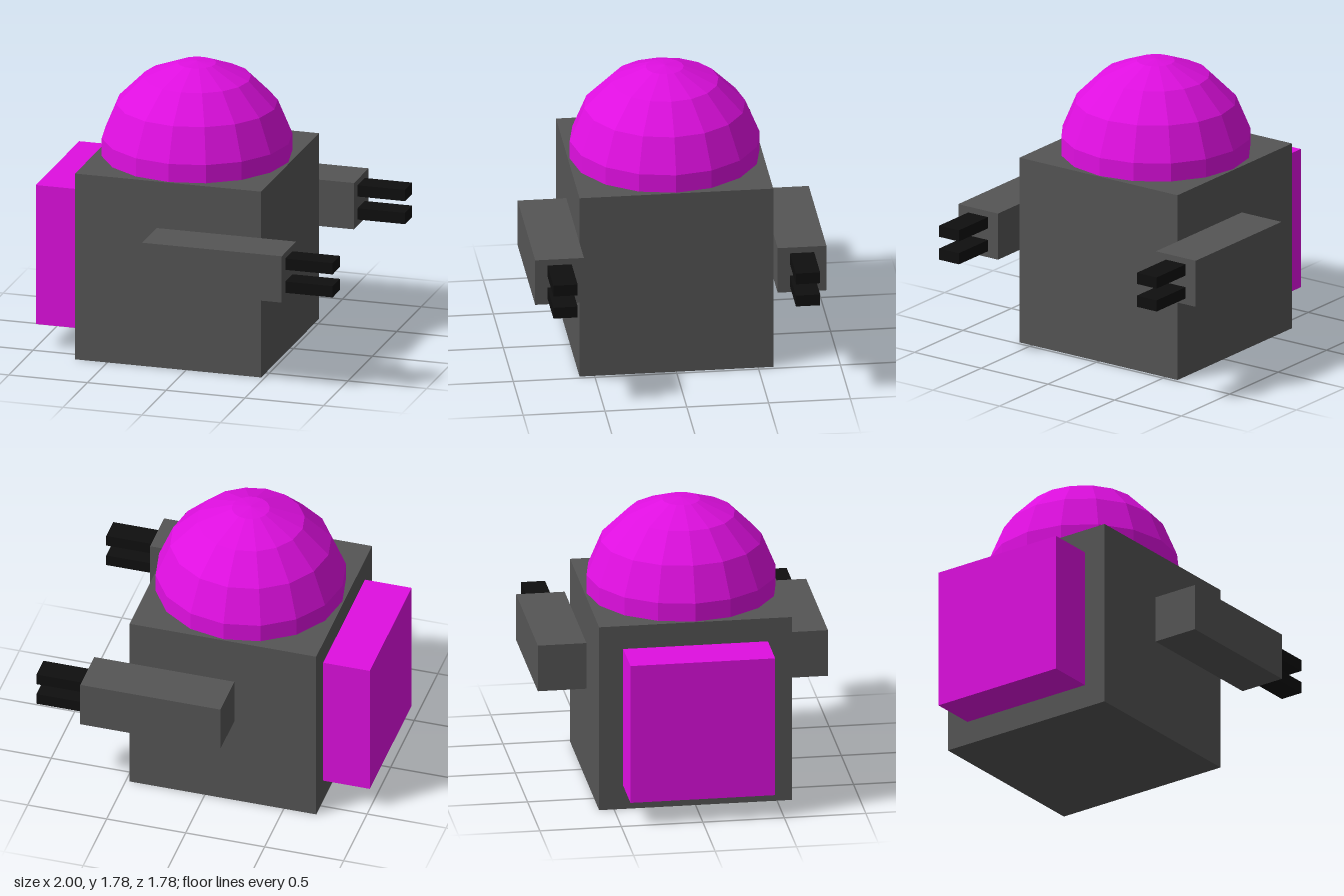
import * as THREE from 'three';

export function createModel() {
  const model = new THREE.Group();
  model.name = 'blockRobot';

  const material = (name, color, extra = {}) => {
    const m = new THREE.MeshStandardMaterial({ color, ...extra });
    m.name = name;
    return m;
  };
  const grey = material('darkGrey', 0x555555);
  const magenta = material('magenta', 0xdf0fe0, { flatShading: true });
  const black = material('black', 0x0f0f0f);

  // Box given by its extents along each axis
  const box = (name, mat, [x0, x1], [y0, y1], [z0, z1], parent = model) => {
    const mesh = new THREE.Mesh(new THREE.BoxGeometry(x1 - x0, y1 - y0, z1 - z0), mat);
    mesh.position.set((x0 + x1) / 2, (y0 + y1) / 2, (z0 + z1) / 2);
    mesh.name = name;
    parent.add(mesh);
  };

  // Body and backpack
  box('body', grey, [-0.705, 0.477], [0, 1.187], [-0.592, 0.592]);
  box('backpack', magenta, [-1, -0.705], [0.15, 1.038], [-0.444, 0.444]);

  // Domed head: sphere rings offset by half a step, with a short vertical band at the base
  const radius = 0.592;
  const profile = [new THREE.Vector2(radius * Math.cos(Math.PI / 16), 0)];
  for (let i = 3; i >= 0; i--) {
    const a = ((i + 0.5) * Math.PI) / 8;
    profile.push(new THREE.Vector2(radius * Math.sin(a), radius * Math.cos(a)));
  }
  profile.push(new THREE.Vector2(0, radius));
  const head = new THREE.Mesh(new THREE.LatheGeometry(profile, 16), magenta);
  head.position.set(-0.114, 1.187, 0);
  head.name = 'domeHead';
  model.add(head);

  // Arms, each with two gripper prongs
  for (const side of [-1, 1]) {
    const arm = new THREE.Group();
    arm.name = side > 0 ? 'rightArm' : 'leftArm';
    arm.position.z = side * 0.741;
    model.add(arm);
    box('armBlock', grey, [-0.187, 0.7], [0.594, 0.89], [-0.149, 0.149], arm);
    for (const y of [0.669, 0.816])
      box('prong', black, [0.7, 1], [y - 0.036, y + 0.036], [-0.074, 0.074], arm);
  }
  return model;
}
